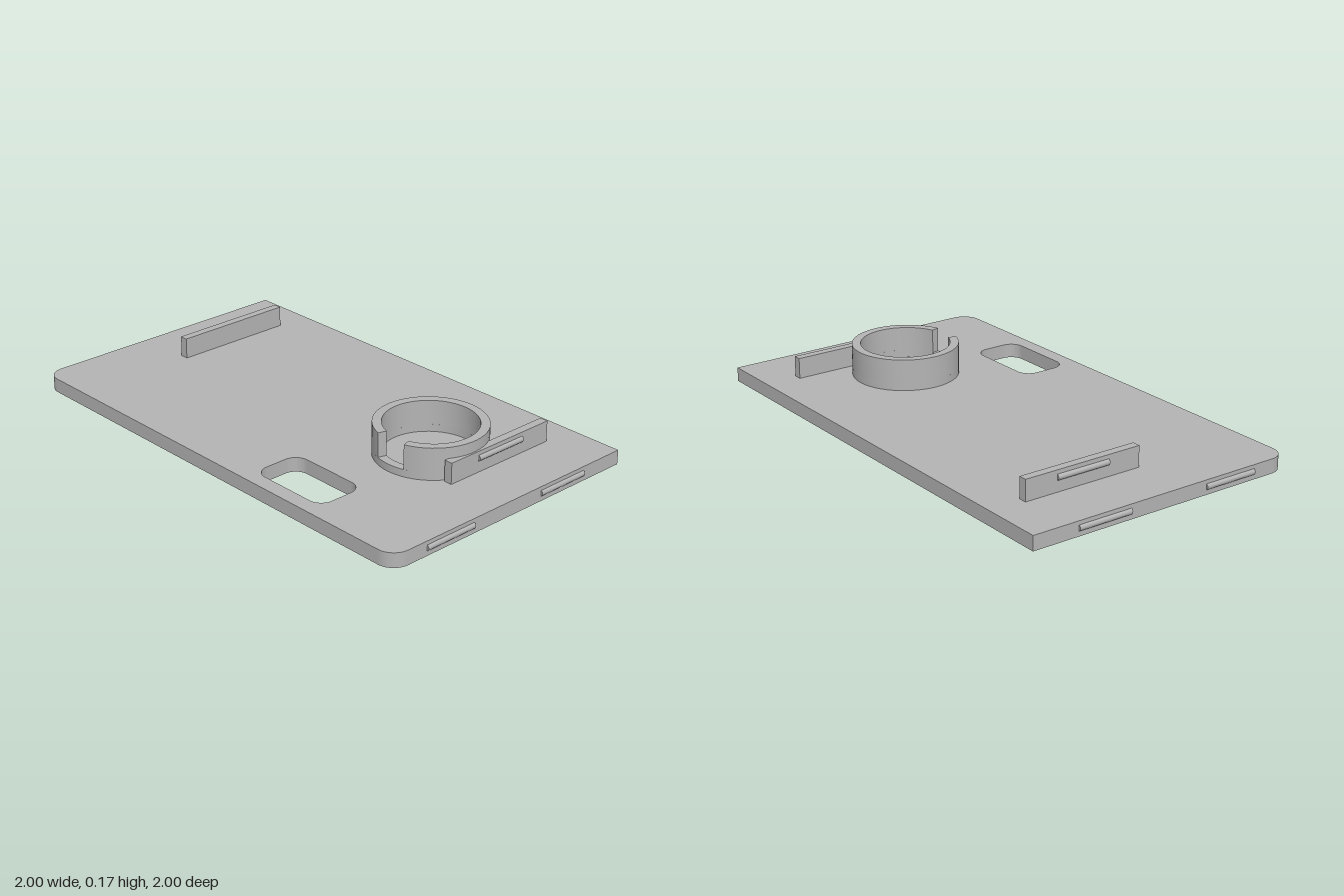
import * as THREE from 'three';
import { toCreasedNormals } from 'three/addons/utils/BufferGeometryUtils.js';

const T = 0.053;          // plate thickness
const HALF = 0.905;       // half the plate length

// Extrude an outline drawn in (x, z) upward from y0 to y1
function slab(shape, y0, y1) {
  const g = new THREE.ExtrudeGeometry(shape, { depth: y1 - y0, bevelEnabled: false, curveSegments: 24 });
  g.rotateX(Math.PI / 2);
  g.translate(0, y1, 0);
  return toCreasedNormals(g, 0.6);
}

function roundedRect(path, x0, x1, z0, z1, r) {
  path.moveTo(x0 + r, z0);
  path.lineTo(x1 - r, z0);
  path.absarc(x1 - r, z0 + r, r, -Math.PI / 2, 0, false);
  path.lineTo(x1, z1 - r);
  path.absarc(x1 - r, z1 - r, r, 0, Math.PI / 2, false);
  path.lineTo(x0 + r, z1);
  path.absarc(x0 + r, z1 - r, r, Math.PI / 2, Math.PI, false);
  path.lineTo(x0, z0 + r);
  path.absarc(x0 + r, z0 + r, r, Math.PI, Math.PI * 1.5, false);
  return path;
}

export function createModel() {
  const model = new THREE.Group();
  model.name = 'backCover';
  const grey = new THREE.MeshStandardMaterial({ color: 0xb4b4b4 });
  grey.name = 'grey plastic';

  const add = (name, geometry, x = 0, y = 0, z = 0) => {
    const mesh = new THREE.Mesh(geometry, grey);
    mesh.name = name;
    mesh.position.set(x, y, z);
    model.add(mesh);
    return mesh;
  };

  // Plate: two square corners, two rounded ones, and a window
  const r = 0.065, z0 = -0.509, z1 = 0.548;
  const outline = new THREE.Shape();
  outline.moveTo(-HALF, z0);
  outline.lineTo(HALF, z0);
  outline.lineTo(HALF, z1 - r);
  outline.absarc(HALF - r, z1 - r, r, 0, Math.PI / 2, false);
  outline.lineTo(-HALF + r, z1);
  outline.absarc(-HALF + r, z1 - r, r, Math.PI / 2, Math.PI, false);
  outline.closePath();
  outline.holes.push(roundedRect(new THREE.Path(), 0.203, 0.52, 0.309, 0.492, 0.05));
  add('plate', slab(outline, 0, T));

  // Ring: low full collar, then a taller wall with a notch
  const cx = 0.495, cz = -0.028, outer = 0.197, inner = 0.165;
  const collar = new THREE.Shape().absarc(cx, cz, outer, 0, Math.PI * 2, false);
  collar.holes.push(new THREE.Path().absarc(cx, cz, inner, 0, Math.PI * 2, true));
  add('ringCollar', slab(collar, T - 0.01, 0.08));

  const a = THREE.MathUtils.degToRad(107), b = THREE.MathUtils.degToRad(72 + 360);
  const wall = new THREE.Shape();
  wall.absarc(cx, cz, outer, a, b, false);
  wall.absarc(cx, cz, inner, b, a, true);
  wall.closePath();
  add('ringWall', slab(wall, 0.08, 0.17));

  // Small rounded snap ridge lying along z, mostly sunk into its wall
  const ridge = (name, x, y, z) => {
    const g = new THREE.CylinderGeometry(0.012, 0.012, 0.21, 16);
    g.rotateX(Math.PI / 2);
    add(name, g, x, y, z);
  };

  // Upright tabs and ridges, mirrored at both ends
  for (const s of [-1, 1]) {
    add('tab', new THREE.BoxGeometry(0.031, 0.14 - T, 0.463), s * 0.683, (T + 0.12) / 2, -0.149);
    ridge('tabRidge', s * 0.694, 0.104, -0.15);
    for (const z of [-0.227, 0.296]) ridge('plateRidge', s * (HALF - 0.005), 0.028, z);
  }

  // The whole part lies diagonally
  model.rotation.y = -Math.PI / 4;
  const root = new THREE.Group();
  root.name = 'coverPlate';
  root.add(model);
  return root;
}
